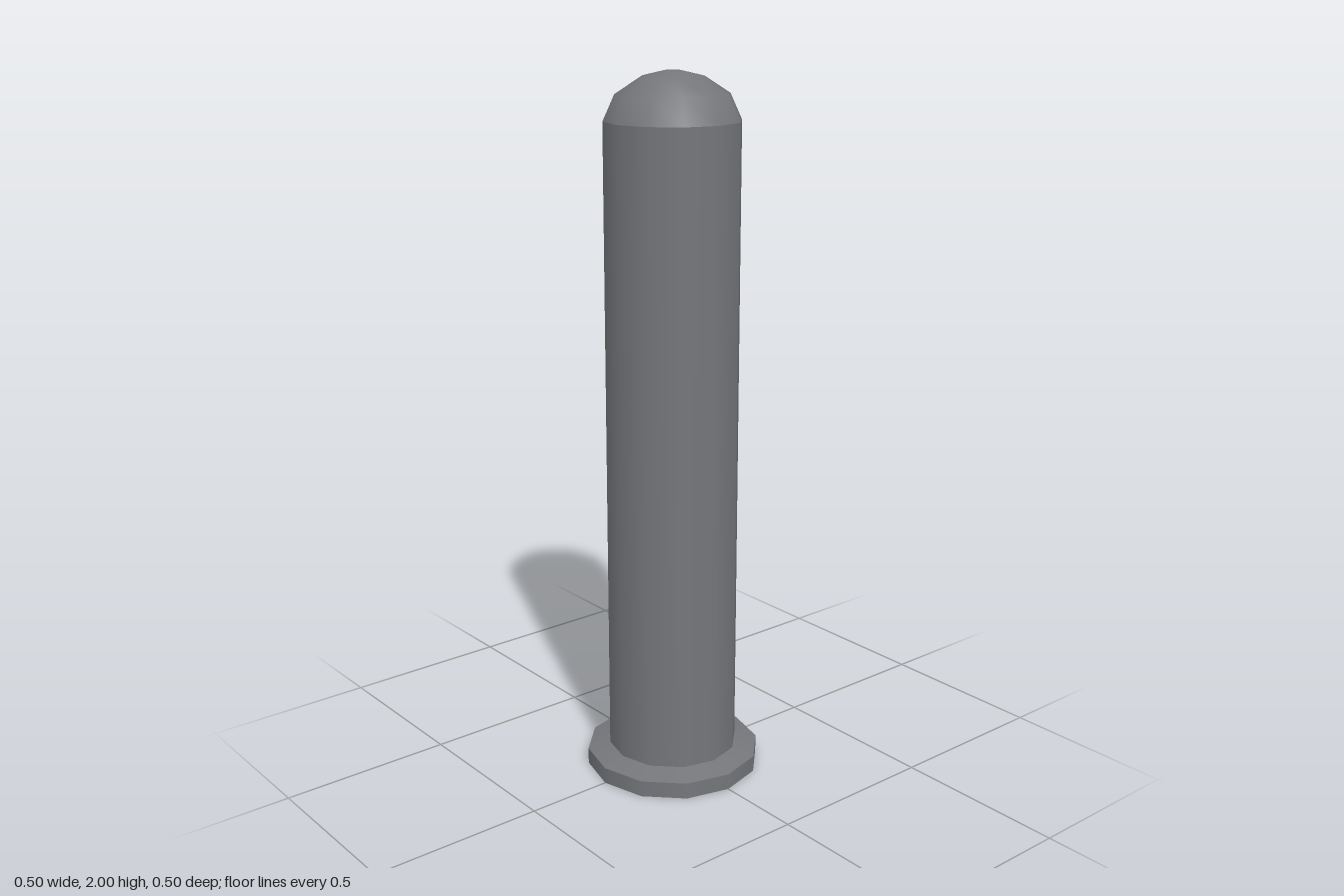
import * as THREE from 'three';

const SIDES = 12;

export function createModel() {
  const model = new THREE.Group();
  model.name = 'bollard';

  const greyMetal = new THREE.MeshStandardMaterial({ color: 0x74767a, side: THREE.DoubleSide });
  greyMetal.name = 'grey metal';

  // Each section is its own open lathe, so edges between sections stay crisp
  const section = (name, profile) => {
    const points = profile.map(([r, y]) => new THREE.Vector2(r, y));
    const mesh = new THREE.Mesh(new THREE.LatheGeometry(points, SIDES), greyMetal);
    mesh.name = name;
    model.add(mesh);
  };

  // Base flange, hollow underneath
  section('flangeRim', [[0.252, 0], [0.252, 0.047]]);
  section('flangeSlope', [[0.252, 0.047], [0.187, 0.064]]);

  // Hollow post
  section('post', [[0.187, 0.064], [0.187, 1.87]]);

  // Rounded top with a small flat crown
  section('dome', [[0.187, 1.87], [0.155, 1.94], [0.085, 1.985], [0.022, 2]]);
  section('crown', [[0.022, 2], [0, 2]]);

  return model;
}
